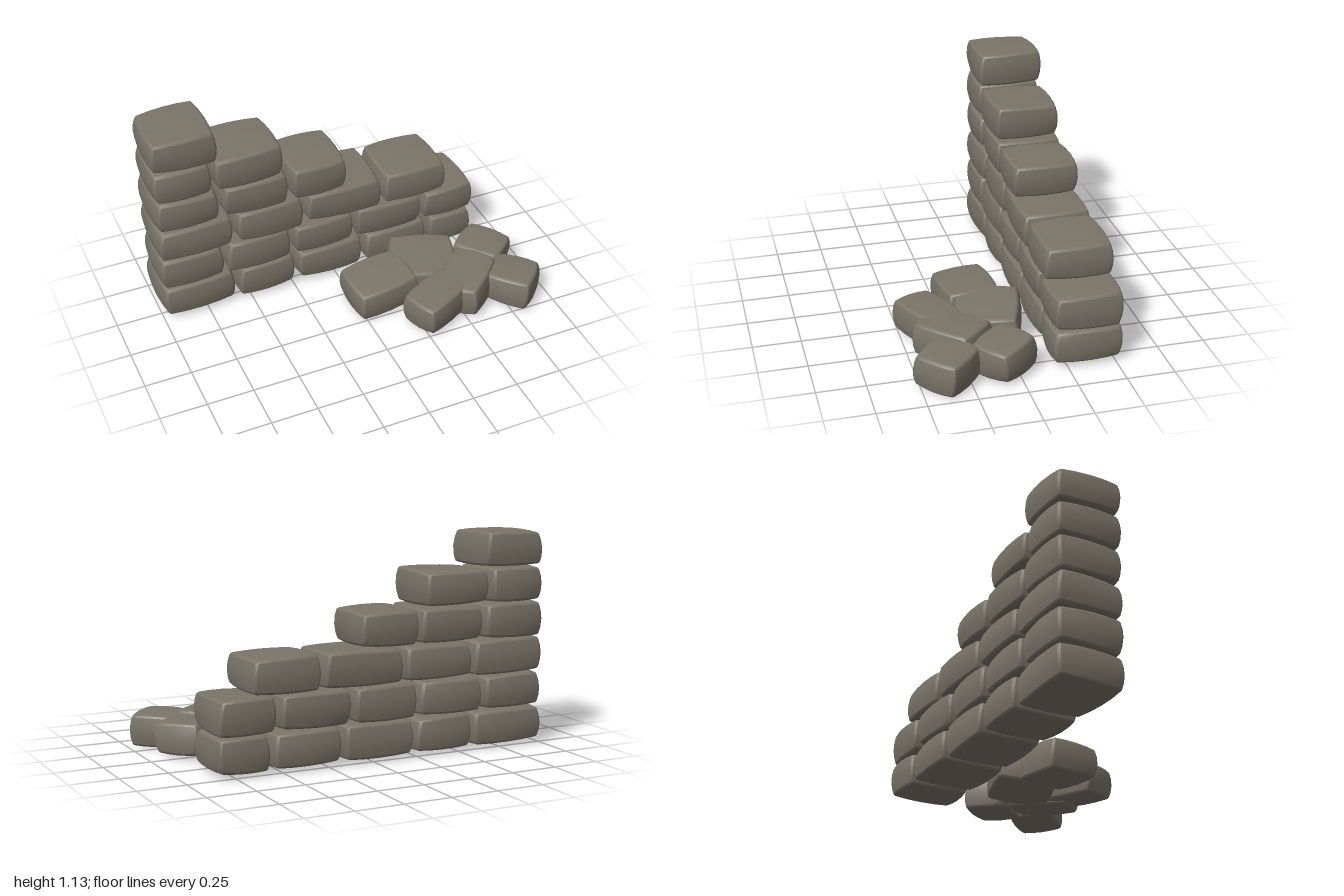
import * as THREE from 'three';
import { toCreasedNormals } from 'three/addons/utils/BufferGeometryUtils.js';

const material = new THREE.MeshStandardMaterial({ color: 0x7a7468, roughness: 0.95 });

function makeRandom(seed) {
  return () => {
    seed = (seed * 16807) % 2147483647;
    return seed / 2147483647;
  };
}

// A worn block: chamfered edges, sides that swell towards their middle, slightly uneven corners.
function blockGeometry(w, h, d, bulge, random) {
  const half = [w / 2, h / 2, d / 2];
  const r = 0.012;
  const geo = new THREE.BoxGeometry(2, 2, 2, 6, 6, 6);
  const pos = geo.attributes.position;
  const skew = Array.from({ length: 9 }, () => (random() - 0.5) * 0.012);
  const swell = [bulge, bulge * 0.35, bulge];
  for (let i = 0; i < pos.count; i++) {
    // Grid lines sit on the edge, on the chamfer and inside the face
    const p = [pos.getX(i), pos.getY(i), pos.getZ(i)].map((u, k) => {
      const step = Math.round(Math.abs(u) * 3);
      return Math.sign(u) * [0, half[k] * 0.5, half[k] - r, half[k]][step];
    });
    const inner = p.map((c, k) => THREE.MathUtils.clamp(c, r - half[k], half[k] - r));
    const offset = new THREE.Vector3(...p.map((c, k) => c - inner[k])).setLength(r);
    const q = [inner[0] + offset.x, inner[1] + offset.y, inner[2] + offset.z];
    const n = q.map((c, k) => c / half[k]);
    const out = q.map((c, k) => {
      const a = n[(k + 1) % 3], b = n[(k + 2) % 3];
      const inset = swell[k] * (a * a + b * b) / 2;
      const uneven = skew[k] * a * b + skew[k + 3] * a * n[k] + skew[k + 6] * b * n[k];
      return c - n[k] * inset + uneven * 0.6;
    });
    pos.setXYZ(i, ...out);
  }
  return toCreasedNormals(geo, 0.33);
}

function addBlock(parent, name, size, position, rotation, bulge, random) {
  const mesh = new THREE.Mesh(blockGeometry(...size, bulge, random), material);
  mesh.name = name;
  mesh.position.set(...position);
  mesh.rotation.set(...rotation, 'YXZ');
  parent.add(mesh);
}

export function createModel() {
  const model = new THREE.Group();
  model.name = 'ruinedWall';
  const random = makeRandom(4211);

  // Standing wall: joints along x for every course, bottom to top
  const wall = new THREE.Group();
  wall.name = 'wall';
  const courses = [
    [-1, -0.575, -0.23, 0.175, 0.565, 0.855],
    [-1, -0.635, -0.25, 0.12, 0.528, 0.855],
    [-1, -0.572, -0.17, 0.287, 0.677],
    [-1, -0.638, -0.255, 0.085],
    [-1, -0.672, -0.28],
    [-1, -0.633],
  ];
  courses.forEach((joints, row) => {
    for (let i = 0; i < joints.length - 1; i++) {
      const left = joints[i] + (i ? 0.003 : 0);
      const right = joints[i + 1] - 0.004;
      addBlock(wall, `wallBlock${row + 1}_${i + 1}`,
        [right - left, 0.182, 0.374],
        [(left + right) / 2, 0.126 + row * 0.186, -0.355],
        [0, 0, 0], 0.026, random);
    }
  });
  model.add(wall);

  // Fallen blocks: size, centre, rotation (pitch, turn, roll)
  const rubble = new THREE.Group();
  rubble.name = 'fallenBlocks';
  const fallen = [
    [[0.37, 0.175, 0.31], [0.13, 0.113, 0.105], [0.02, 0.08, 0.08]],
    [[0.38, 0.175, 0.35], [0.415, 0.118, 0.055], [0.08, -0.31, -0.03]],
    [[0.28, 0.175, 0.26], [0.78, 0.113, 0.07], [0.03, -0.89, -0.02]],
    [[0.36, 0.175, 0.24], [0.365, 0.115, 0.355], [-0.03, 0.43, 0.03]],
    [[0.36, 0.185, 0.27], [0.575, 0.116, 0.28], [-0.05, 0.74, 0.05]],
    [[0.265, 0.175, 0.29], [0.81, 0.108, 0.355], [0.03, 0.76, -0.04]],
  ];
  fallen.forEach(([size, position, rotation], i) =>
    addBlock(rubble, `fallenBlock${i + 1}`, size, position, rotation, 0.026, random));
  model.add(rubble);

  return model;
}
